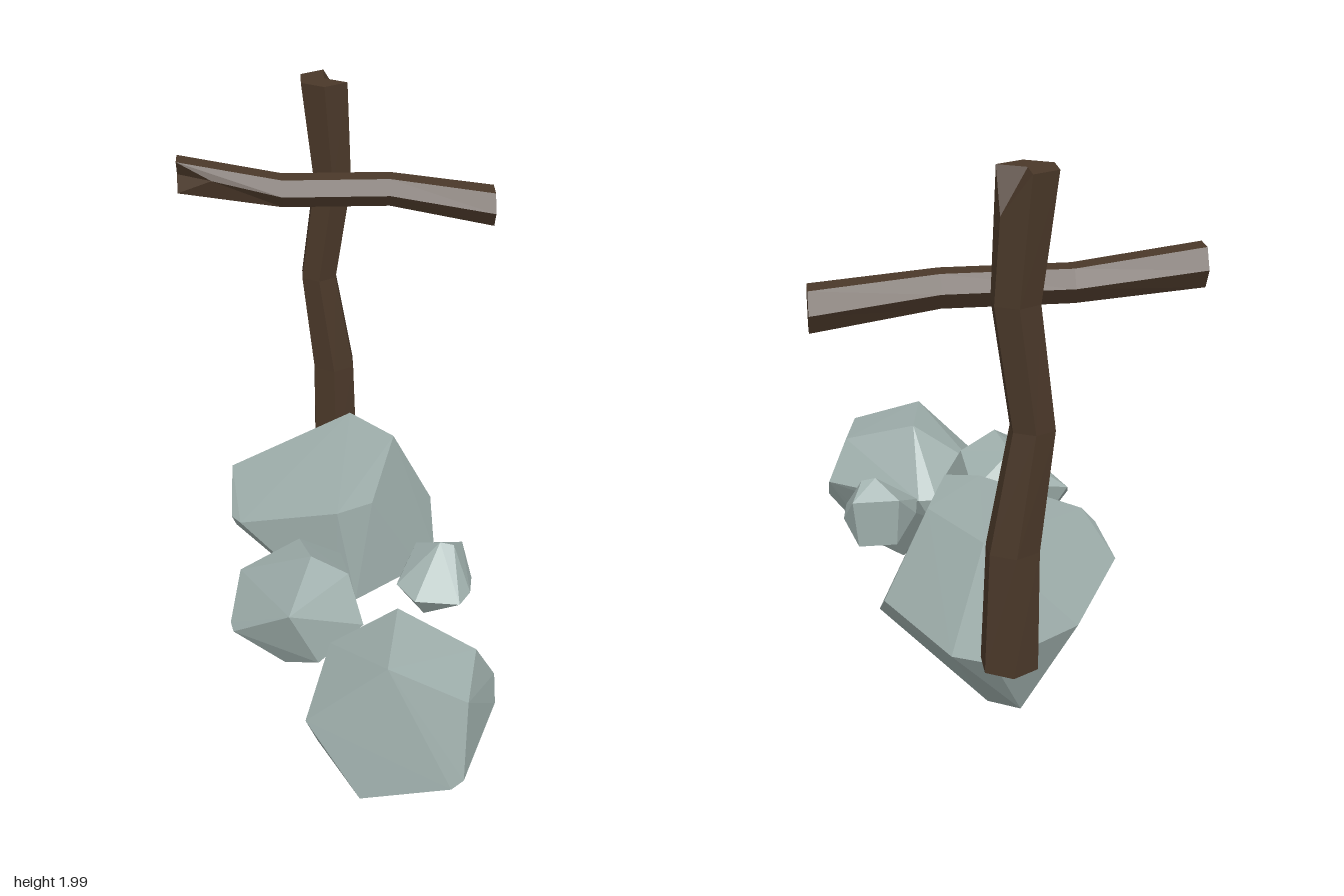
import * as THREE from 'three';
import { ConvexGeometry } from 'three/addons/geometries/ConvexGeometry.js';

const stone = new THREE.MeshStandardMaterial({ color: 0x9fafac });
stone.name = 'grey stone';
const wood = new THREE.MeshStandardMaterial({ color: 0x4a3829, side: THREE.DoubleSide });
wood.name = 'dark wood';

// Faceted boulder: the hull of a few corner points
function rock(name, corners) {
  const mesh = new THREE.Mesh(new ConvexGeometry(corners.map((c) => new THREE.Vector3(...c))), stone);
  mesh.name = name;
  return mesh;
}

// Rough hexagonal timber lofted along rings [along, u, v, radiusU, radiusV];
// one rim corner of an end ring is chipped inward
function timber(name, rings, startAngle, place, chip) {
  const sides = 6;
  const loops = rings.map(([along, u, v, ru, rv], i) =>
    Array.from({ length: sides }, (_, j) => {
      const t = startAngle + (j / sides) * Math.PI * 2;
      const shift = chip.ring === i && chip.corner === j ? chip.shift : 0;
      return place(along + shift, u + ru * Math.cos(t), v + rv * Math.sin(t));
    }));
  const pos = [];
  const tri = (...pts) => pts.forEach((p) => pos.push(...p));
  const last = rings.length - 1;
  const first = place(...rings[0].slice(0, 3));
  const end = place(...rings[last].slice(0, 3));
  for (let j = 0; j < sides; j++) {
    const k = (j + 1) % sides;
    for (let i = 0; i < last; i++) {
      tri(loops[i][j], loops[i + 1][j], loops[i][k]);
      tri(loops[i][k], loops[i + 1][j], loops[i + 1][k]);
    }
    tri(first, loops[0][j], loops[0][k]);
    tri(end, loops[last][k], loops[last][j]);
  }
  const geometry = new THREE.BufferGeometry();
  geometry.setAttribute('position', new THREE.Float32BufferAttribute(pos, 3));
  geometry.computeVertexNormals();
  const mesh = new THREE.Mesh(geometry, wood);
  mesh.name = name;
  return mesh;
}

export function createModel() {
  const group = new THREE.Group();
  group.name = 'graveMarker';

  // Upright post, slightly crooked
  group.add(timber('post', [
    [0.39, 0, -0.857, 0.098, 0.098],
    [0.8, -0.008, -0.855, 0.09, 0.085],
    [1.2, -0.065, -0.855, 0.075, 0.067],
    [1.6, -0.01, -0.853, 0.08, 0.075],
    [2.0, -0.04, -0.857, 0.098, 0.09],
  ], Math.PI / 6, (a, u, v) => [u, a, v], { ring: 4, corner: 5, shift: -0.13 }));

  // Crossbar in front of the post
  group.add(timber('crossbar', [
    [-0.59, -0.772, 1.667, 0.068, 0.072],
    [-0.2, -0.735, 1.613, 0.066, 0.062],
    [0.2, -0.735, 1.613, 0.066, 0.062],
    [0.59, -0.702, 1.555, 0.078, 0.076],
  ], 0, (a, u, v) => [a, v, u], { ring: 0, corner: 0, shift: 0.13 }));

  // Large rock at the foot of the post
  group.add(rock('largeRock', [
    [0.21, 0.73, -0.40], [0.05, 0.70, -0.62], [0.11, 0.68, -0.03], [-0.02, 0.655, 0],
    [-0.38, 0.55, -0.10], [-0.415, 0.53, -0.17], [-0.42, 0.545, -0.49],
    [0.365, 0.41, -0.44], [0.37, 0.28, -0.26], [0.30, 0.31, -0.12], [0.05, 0.25, 0],
    [-0.02, 0.19, -0.02], [-0.40, 0.47, -0.20], [-0.27, 0.37, -0.62],
    [0.17, 0.35, -0.73], [0.03, 0.31, -0.73], [-0.09, 0.015, -0.55], [0.02, 0.03, -0.51],
  ]));

  // Front rock
  group.add(rock('frontRock', [
    [0.17, 0.64, 0.53], [0.12, 0.625, 0.82], [0.43, 0.55, 0.645], [0.38, 0.535, 0.89],
    [0.37, 0.25, 0.955], [0.33, 0.21, 0.955], [0.505, 0.39, 0.59], [0.505, 0.31, 0.65],
    [0.10, 0.40, 0.345], [0.17, 0.40, 0.345], [0.13, 0.32, 0.36], [-0.06, 0.48, 0.515],
    [-0.15, 0.36, 0.77], [-0.11, 0.24, 0.74], [0.03, 0.09, 0.87], [0.21, 0.025, 0.62],
    [0.33, 0.07, 0.68], [-0.04, 0.30, 0.50],
  ]));

  // Medium rock
  group.add(rock('mediumRock', [
    [-0.16, 0.67, 0.165], [-0.12, 0.70, 0.31], [-0.20, 0.59, 0.505], [-0.375, 0.52, 0.145],
    [-0.41, 0.42, 0.32], [-0.40, 0.41, 0.36], [-0.20, 0.56, 0.09], [-0.01, 0.55, 0.10],
    [0.01, 0.62, 0.31], [0.06, 0.47, 0.41], [-0.10, 0.36, 0.48], [-0.22, 0.28, 0.38],
    [-0.10, 0.265, 0.17], [-0.01, 0.30, 0.28], [-0.26, 0.34, 0.15],
  ]));

  // Small rock
  group.add(rock('smallRock', [
    [0.35, 0.61, 0.125], [0.40, 0.60, 0.13], [0.27, 0.55, 0.045], [0.44, 0.55, 0.045],
    [0.47, 0.45, 0.13], [0.455, 0.46, 0.23], [0.41, 0.46, 0.30], [0.25, 0.47, 0.29],
    [0.19, 0.48, 0.20], [0.20, 0.45, 0.14], [0.28, 0.37, 0.05], [0.42, 0.37, 0.05],
    [0.32, 0.335, 0.13], [0.40, 0.335, 0.14], [0.29, 0.36, 0.22],
  ]));

  return group;
}
